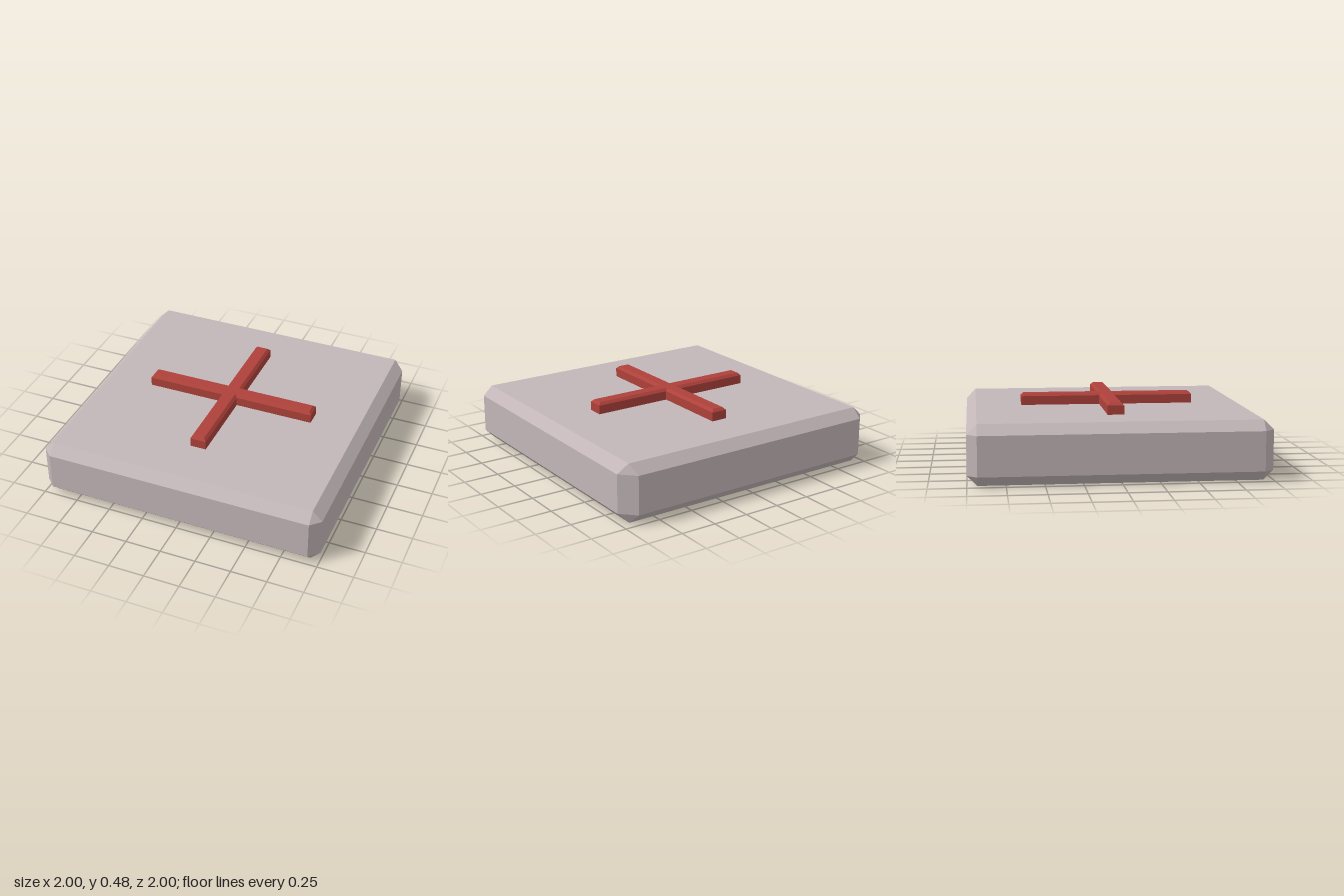
import * as THREE from 'three';
import { ConvexGeometry } from 'three/addons/geometries/ConvexGeometry.js';

const stone = new THREE.MeshStandardMaterial({ color: 0xc2b6b8 });
stone.name = 'pale stone';
const red = new THREE.MeshStandardMaterial({ color: 0xae413a });
red.name = 'brick red';

// Slab with chamfered edges; the back left corner is cut wider than the others
function slabGeometry(height, chamfer, wideCut) {
  const inset = 1 - chamfer;
  const points = [];
  for (const sx of [-1, 1]) {
    for (const sz of [-1, 1]) {
      const side = sx > 0 && sz < 0 ? 1 - wideCut : inset;
      for (const [face, edge] of [[0, chamfer], [height, height - chamfer]]) {
        points.push(
          new THREE.Vector3(sx * inset, face, sz * inset),
          new THREE.Vector3(sx, edge, sz * side),
          new THREE.Vector3(sx * side, edge, sz)
        );
      }
    }
  }
  return new ConvexGeometry(points);
}

// Equal-armed plus with bevelled rims, its lower rim sunk into the slab
function crossGeometry(reach, half, bevel, depth) {
  const outline = [];
  for (let i = 0; i < 4; i++) {
    for (const [x, y] of [[reach, -half], [reach, half], [half, half]]) {
      outline.push(new THREE.Vector2(x, y).rotateAround(new THREE.Vector2(), i * Math.PI / 2));
    }
  }
  const geometry = new THREE.ExtrudeGeometry(new THREE.Shape(outline), {
    depth: depth - 2 * bevel,
    bevelEnabled: true,
    bevelSegments: 1,
    bevelSize: bevel,
    bevelThickness: bevel,
    bevelOffset: -bevel
  });
  geometry.rotateX(-Math.PI / 2);
  geometry.translate(0, bevel, 0);
  return geometry;
}

export function createModel() {
  const model = new THREE.Group();
  model.name = 'slabWithCross';

  const slab = new THREE.Mesh(slabGeometry(0.4, 0.067, 0.097), stone);
  slab.name = 'slab';

  const cross = new THREE.Mesh(crossGeometry(0.61, 0.056, 0.018, 0.11), red);
  cross.name = 'raisedCross';
  cross.position.set(-0.002, 0.37, -0.002);

  model.add(slab, cross);
  return model;
}
